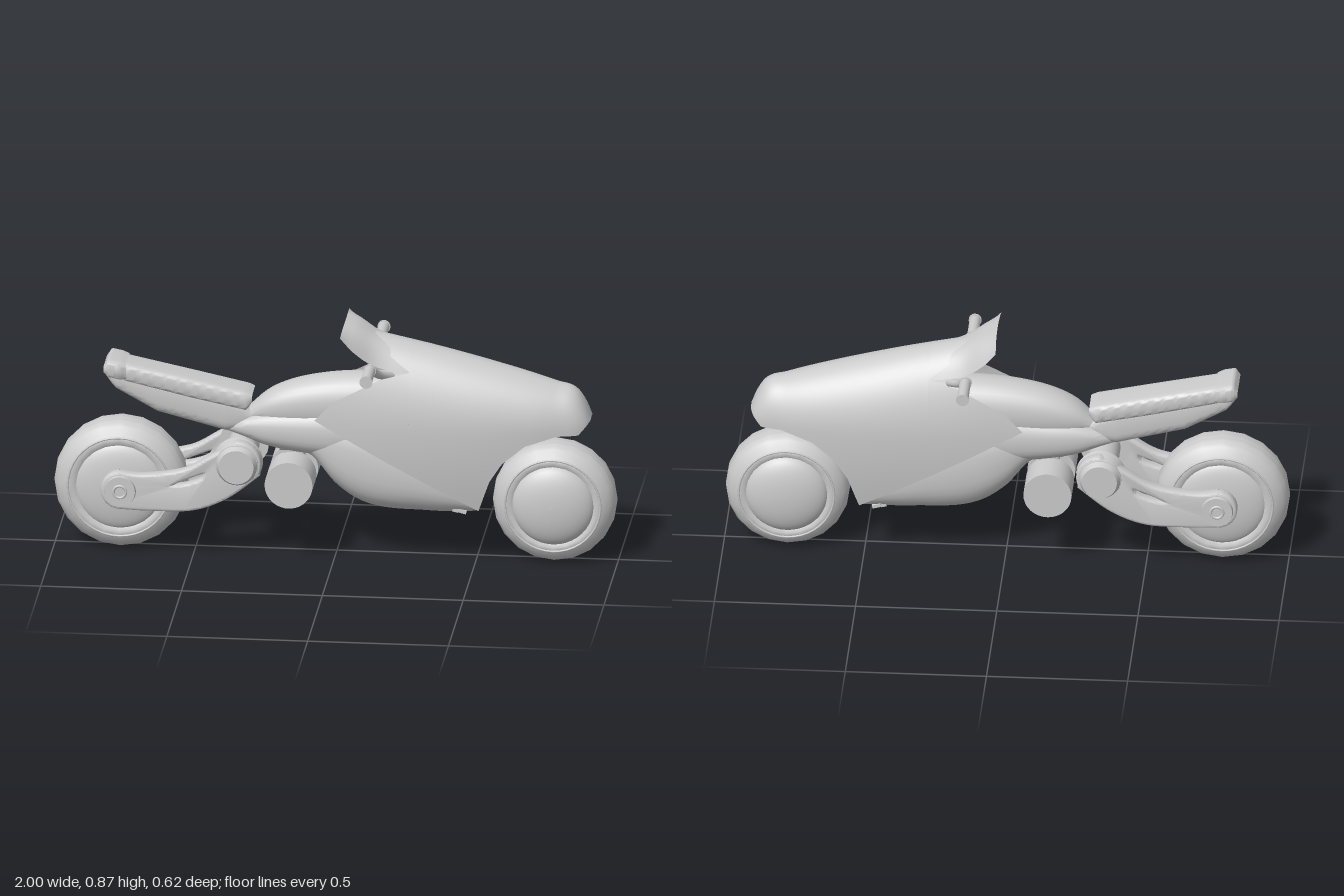
import * as THREE from 'three';
import { mergeGeometries, mergeVertices, toCreasedNormals } from 'three/addons/utils/BufferGeometryUtils.js';

const mat = new THREE.MeshStandardMaterial({ color: 0xcccccc });
const thin = new THREE.MeshStandardMaterial({ color: 0xcccccc, side: THREE.DoubleSide });

// Table of [x, a, b, ...] rows -> function x => [a, b, ...]
function table(rows, Kind = THREE.CubicInterpolant) {
  const f = new Kind(rows.map(r => r[0]), rows.flatMap(r => r.slice(1)), rows[0].length - 1, []);
  return x => Array.from(f.evaluate(x));
}
const line = rows => { const f = table(rows, THREE.LinearInterpolant); return x => f(x)[0]; };
const curve = rows => { const f = table(rows); return x => f(x)[0]; };

function buildGeometry(pos, idx) {
  const g = new THREE.BufferGeometry();
  g.setAttribute('position', new THREE.Float32BufferAttribute(pos, 3));
  g.setIndex(idx);
  return g;
}

// Closed body along x from rows [x, bottom, top, halfWidth]; power > 2 gives boxier sections
function loft(rows, power = 2, steps = 36, sides = 32, Kind) {
  const f = table(rows, Kind), x0 = rows[0][0], x1 = rows[rows.length - 1][0];
  const pos = [], idx = [];
  const sup = c => Math.sign(c) * Math.abs(c) ** (2 / power);
  for (let i = 0; i <= steps; i++) {
    const x = x0 + (x1 - x0) * i / steps, [lo, hi, w] = f(x);
    for (let j = 0; j < sides; j++) {
      const a = j / sides * Math.PI * 2;
      pos.push(x, (lo + hi) / 2 + (hi - lo) / 2 * sup(Math.sin(a)), w * sup(Math.cos(a)));
      if (i < steps) {
        const k = (j + 1) % sides, p = i * sides, q = p + sides;
        idx.push(p + j, q + j, q + k, p + j, q + k, p + k);
      }
    }
  }
  for (const [i, x, flip] of [[0, x0, 0], [steps, x1, 1]]) {
    const [lo, hi] = f(x), c = pos.length / 3;
    pos.push(x, (lo + hi) / 2, 0);
    for (let j = 0; j < sides; j++) {
      const a = i * sides + j, b = i * sides + (j + 1) % sides;
      idx.push(c, flip ? a : b, flip ? b : a);
    }
  }
  return toCreasedNormals(buildGeometry(pos, idx), 0.8);
}

// Fairing outline lines in side view, and its half width at any (x, y)
const ridge = curve([[-0.07, 0.87], [0.1, 0.83], [0.4, 0.762], [0.78, 0.657], [0.855, 0.63], [0.885, 0.585], [0.905, 0.535]]);
const lowEdge = line([[-0.065, 0.53], [0.515, 0.205], [0.555, 0.32], [0.6, 0.39], [0.68, 0.455], [0.79, 0.488], [0.865, 0.487], [0.905, 0.53]]);
const rearEdge = line([[-0.065, 0.531], [0, 0.6], [0.165, 0.685], [0.27, 0.71]]);
const tipEdge = line([[0.1, 0.829], [0.27, 0.71]]);
const width = curve([[-0.07, 0.148], [0.2, 0.163], [0.5, 0.157], [0.7, 0.132], [0.8, 0.108], [0.87, 0.085], [0.905, 0.06]]);
function halfWidth(x, y) {
  const w = width(x), r = ridge(x), ym = Math.min(0.5, r - 0.03);
  if (y < ym) return w * (1 - 0.22 * ((ym - y) / 0.3) ** 2);
  return w * Math.sqrt(Math.max(0, 1 - ((y - ym) / (r - ym)) ** 2));
}
function skin(x0, x1, lo, hi, side, steps, rows = 20) {
  const pos = [], idx = [];
  for (let i = 0; i <= steps; i++) {
    const x = x0 + (x1 - x0) * i / steps, a = lo(x), b = hi(x);
    for (let j = 0; j <= rows; j++) {
      const y = a + (b - a) * Math.sin(j / rows * Math.PI / 2);
      pos.push(x, y, side * halfWidth(x, y));
      if (i < steps && j < rows) {
        const p = i * (rows + 1) + j, q = p + rows + 1;
        idx.push(...(side > 0 ? [p, q, q + 1, p, q + 1, p + 1] : [p, q + 1, q, p, p + 1, q + 1]));
      }
    }
  }
  return buildGeometry(pos, idx);
}

export function createModel() {
  const model = new THREE.Group();
  const add = (name, geo, x = 0, y = 0, z = 0, parent = model, m = mat) => {
    const mesh = new THREE.Mesh(geo, m);
    mesh.name = name;
    mesh.position.set(x, y, z);
    parent.add(mesh);
    return mesh;
  };
  const disc = (r, depth, seg = 32, r2 = r) => new THREE.CylinderGeometry(r, r2, depth, seg).rotateX(Math.PI / 2);
  const lathe = (half, seg) => {
    const pts = [...half.map(([r, z]) => [r, -z]), ...half.slice().reverse()].map(p => new THREE.Vector2(...p));
    return new THREE.LatheGeometry(pts, seg).rotateX(Math.PI / 2);
  };

  // Wheels: faceted grooved tyre, domed hub cover, rim bead
  function wheel(name, x, R, dome) {
    const g = new THREE.Group();
    g.name = name;
    g.position.set(x, R, 0);
    model.add(g);
    add('tyre', lathe([[0.62, 0.075], [0.7, 0.088], [0.8, 0.085], [0.92, 0.06], [0.965, 0.045], [0.96, 0.041],
      [0.985, 0.037], [0.995, 0.02], [0.985, 0.017], [1, 0.013]].map(([r, z]) => [r * R, z]), 20), 0, 0, 0, g);
    const hub = [];
    for (let i = 0; i <= 10; i++) {
      const a = i / 10 * Math.PI / 2;
      hub.push([R * 0.67 * Math.sin(a), 0.07 + (dome - 0.07) * Math.cos(a)]);
    }
    add('hubCover', lathe(hub, 40), 0, 0, 0, g);
    for (const s of [1, -1]) add('rimBead', new THREE.TorusGeometry(R * 0.77, 0.004, 6, 40), 0, 0, s * 0.086, g);
  }
  wheel('rearWheel', -0.765, 0.237, 0.108);
  wheel('frontWheel', 0.775, 0.22, 0.126);

  // Main fairing
  const skins = [];
  for (const s of [1, -1]) {
    skins.push(skin(-0.065, 0.27, lowEdge, rearEdge, s, 20), skin(0.1, 0.27, tipEdge, ridge, s, 12),
      skin(0.27, 0.515, lowEdge, ridge, s, 14), skin(0.515, 0.905, lowEdge, ridge, s, 40));
  }
  const fairing = mergeVertices(mergeGeometries(skins), 1e-4);
  fairing.computeVertexNormals();
  add('fairing', fairing, 0, 0, 0, model, thin);

  // Flared windscreen
  const screenRow = table([[0, 0.27, 0.7, 0.772, 0.105], [0.5, 0.14, 0.735, 0.815, 0.125],
    [0.8, 0.07, 0.795, 0.855, 0.155], [1, 0.028, 0.847, 0.868, 0.167]]);
  const screen = new THREE.PlaneGeometry(2, 1, 24, 14), sp = screen.attributes.position;
  for (let i = 0; i < sp.count; i++) {
    const u = sp.getX(i), [x, ySide, yMid, w] = screenRow(sp.getY(i) + 0.5);
    sp.setXYZ(i, x + 0.02 * (1 - u * u) * (1 - sp.getY(i)) * 0.5, ySide + (yMid - ySide) * (1 - Math.abs(u) ** 3), u * w);
  }
  screen.computeVertexNormals();
  add('windscreen', screen, 0, 0, 0, model, thin);

  // Headlamp housing under the nose and radiator slats behind the front wheel
  add('noseUnderside', new THREE.SphereGeometry(1, 32, 16).scale(0.15, 0.055, 0.095), 0.74, 0.51, 0);
  const radiator = new THREE.Group();
  radiator.name = 'radiator';
  radiator.position.set(0.49, 0.33, 0);
  radiator.rotation.z = -0.25;
  model.add(radiator);
  add('core', new THREE.BoxGeometry(0.02, 0.3, 0.2), -0.025, 0, 0, radiator);
  for (let i = 0; i < 12; i++) add('slat', new THREE.BoxGeometry(0.03, 0.012, 0.21), 0, -0.14 + i * 0.026, 0, radiator);

  // Body: belly pan, tank and frame spine
  add('bellyPan', loft([[-0.2, 0.375, 0.42, 0.05], [-0.09, 0.365, 0.5, 0.085], [0, 0.262, 0.52, 0.11], [0.1, 0.197, 0.52, 0.125],
    [0.33, 0.174, 0.45, 0.132], [0.46, 0.177, 0.36, 0.125], [0.505, 0.185, 0.28, 0.12]], 2.6));
  add('tank', loft([[-0.31, 0.48, 0.53, 0.04], [-0.25, 0.47, 0.585, 0.065], [-0.18, 0.46, 0.622, 0.08], [-0.045, 0.45, 0.657, 0.092],
    [0.16, 0.44, 0.672, 0.095], [0.35, 0.46, 0.66, 0.09], [0.42, 0.5, 0.6, 0.06]], 2.3));
  add('frameSpine', loft([[-0.4, 0.445, 0.475, 0.035], [-0.33, 0.425, 0.5, 0.065], [-0.25, 0.395, 0.525, 0.085],
    [-0.1, 0.37, 0.545, 0.102], [0.05, 0.36, 0.56, 0.11], [0.2, 0.38, 0.56, 0.1]], 2.6));

  // Seat, tail shell and end cap
  const L = THREE.LinearInterpolant;
  add('seat', loft([[-0.77, 0.635, 0.69, 0.06], [-0.75, 0.622, 0.69, 0.068], [-0.5, 0.565, 0.637, 0.07],
    [-0.315, 0.527, 0.597, 0.07], [-0.295, 0.56, 0.588, 0.06]], 5, 40, 32, L));
  add('tailShell', loft([[-0.82, 0.645, 0.665, 0.055], [-0.785, 0.592, 0.665, 0.06], [-0.635, 0.507, 0.635, 0.062],
    [-0.39, 0.443, 0.58, 0.06], [-0.34, 0.452, 0.555, 0.055], [-0.285, 0.485, 0.51, 0.045]], 3.5, 40, 32, L));
  add('tailCap', loft([[-0.822, 0.655, 0.68, 0.075], [-0.805, 0.638, 0.706, 0.084], [-0.765, 0.63, 0.698, 0.084],
    [-0.742, 0.63, 0.69, 0.074]], 5, 16, 32, L));

  // Swingarms with slot, pivot and axle bosses
  const v = pts => pts.map(p => new THREE.Vector2(...p));
  const arm = new THREE.Shape();
  arm.moveTo(-0.34, 0.43);
  arm.splineThru(v([[-0.43, 0.375], [-0.53, 0.32], [-0.67, 0.297], [-0.76, 0.305]]));
  arm.absarc(-0.755, 0.245, 0.06, Math.PI / 2, Math.PI * 1.5, false);
  arm.splineThru(v([[-0.65, 0.182], [-0.5, 0.188], [-0.38, 0.235], [-0.27, 0.32]]));
  arm.absarc(-0.34, 0.355, 0.075, -0.4, Math.PI / 2, false);
  const slot = new THREE.Path();
  slot.moveTo(-0.6, 0.262);
  slot.splineThru(v([[-0.54, 0.295], [-0.445, 0.333]]));
  slot.splineThru(v([[-0.46, 0.292], [-0.53, 0.265], [-0.6, 0.262]]));
  arm.holes.push(slot);
  const armGeo = toCreasedNormals(new THREE.ExtrudeGeometry(arm, { depth: 0.025, bevelEnabled: true,
    bevelSize: 0.01, bevelThickness: 0.01, bevelSegments: 3, curveSegments: 16 }).translate(0, 0, -0.0125), 0.7);
  for (const s of [1, -1]) {
    const side = new THREE.Group();
    side.name = s > 0 ? 'leftSwingarm' : 'rightSwingarm';
    model.add(side);
    add('arm', armGeo, 0, 0, s * 0.128, side);
    const boss = (name, r, x, y, z0, z1) => add(name, s > 0 ? disc(r * 0.85, z1 - z0, 32, r) : disc(r, z1 - z0, 32, r * 0.85),
      x, y, s * (z0 + z1) / 2, side);
    boss('pivotHousing', 0.088, -0.34, 0.355, 0.1, 0.155);
    boss('pivotCap', 0.073, -0.34, 0.355, 0.155, 0.177);
    boss('axleBoss', 0.064, -0.755, 0.245, 0.11, 0.163);
    add('axleRing', new THREE.TorusGeometry(0.022, 0.005, 8, 24), -0.755, 0.245, s * 0.163, side);
    add('silencer', disc(0.085, 0.135, 40), -0.155, 0.29, s * 0.0975);

    // Handlebar half: bent stem, grip and end collars
    const path = new THREE.CatmullRomCurve3([[0.2, 0.675, 0.06], [0.16, 0.7, 0.115], [0.137, 0.733, 0.165], [0.135, 0.735, 0.19]]
      .map(([x, y, z]) => new THREE.Vector3(x, y, s * z)));
    add('handlebarStem', new THREE.TubeGeometry(path, 16, 0.015, 12));
    add('grip', disc(0.02, 0.135, 24), 0.135, 0.735, s * 0.2425);
    for (const z of [0.178, 0.307]) add('gripCollar', disc(0.023, 0.007, 24), 0.135, 0.735, s * z);
  }
  add('swingarmPivot', disc(0.055, 0.24), -0.34, 0.355, 0);
  add('rearAxle', disc(0.018, 0.32, 24), -0.755, 0.245, 0);
  add('exhaustLink', disc(0.045, 0.1), -0.155, 0.29, 0);
  add('exhaustMount', new THREE.BoxGeometry(0.07, 0.12, 0.08), -0.15, 0.36, 0);
  return model;
}
